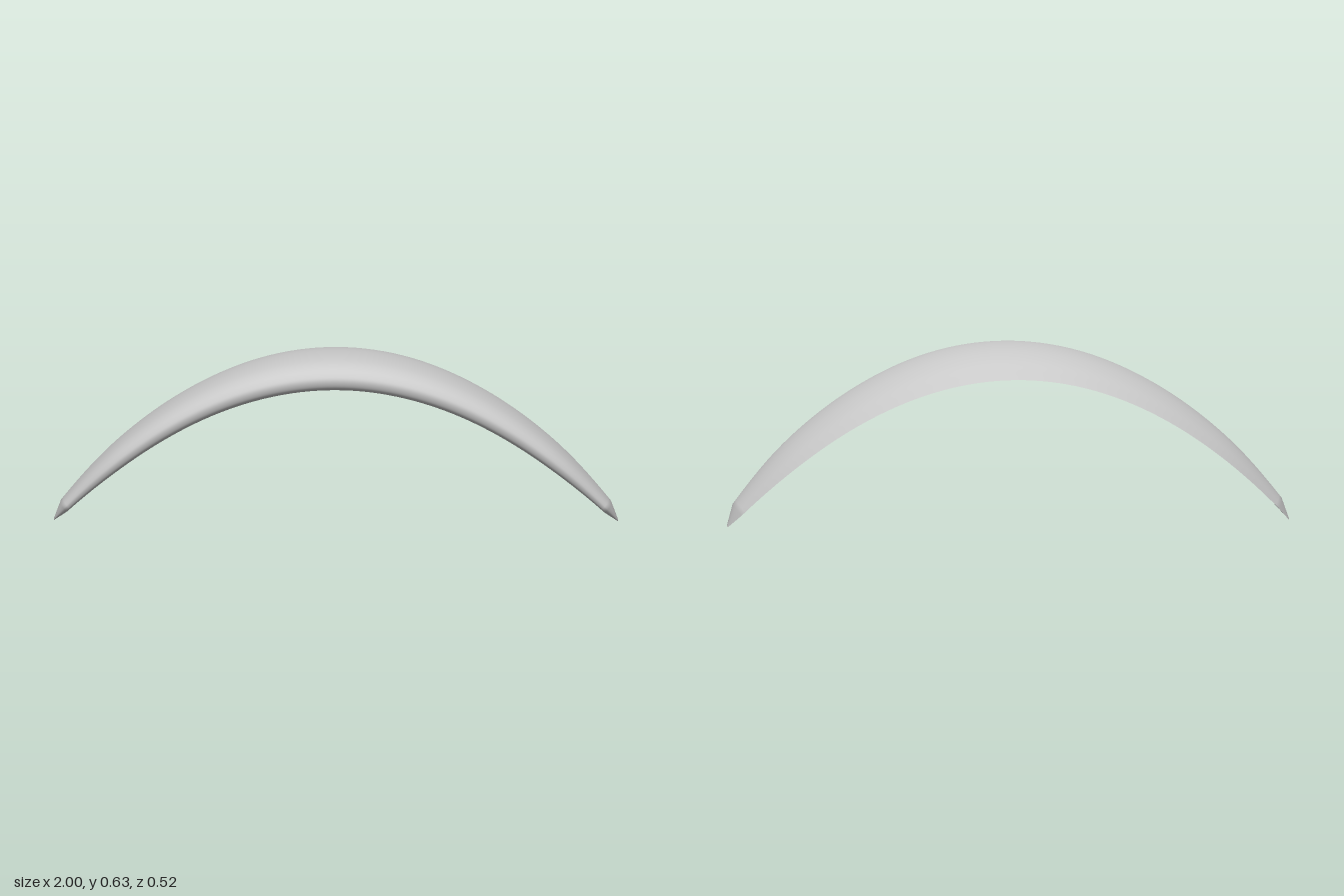
import * as THREE from 'three';

const RISE = 0.535; // height of the parabolic arch
const HALF = 0.26; // half chord at mid span

const spline = (points) => new THREE.SplineCurve(points.map(([a, b]) => new THREE.Vector2(a, b)));

// Closed aerofoil (z, height): trailing edge, crest, nose, then the hollowed underside
const section = spline([
  [-0.26, 0.018], [-0.19, 0.041], [-0.1, 0.07], [0, 0.091], [0.1, 0.099],
  [0.18, 0.095], [0.23, 0.08], [0.254, 0.059], [0.26, 0.04], [0.252, 0.017],
  [0.232, 0.004], [0.2, 0], [0.1, 0.016], [0, 0.028], [-0.1, 0.03], [-0.19, 0.025], [-0.26, 0.018],
]).getPoints(80);

// Planform (x, half chord) up to the tip shoulders, with one facet out to each blunt tip
const side = [[0.25, 0.251], [0.5, 0.221], [0.67, 0.191], [0.8, 0.156], [0.953, 0.0915]];
const planform = spline([
  ...side.map(([x, c]) => [-x, c]).reverse(), [0, HALF], ...side,
]).getPoints(80);
const tips = [-1, 1].map((x) => new THREE.Vector2(x, 0.015));
const stations = [tips[0], ...planform, tips[1]];

function canopyGeometry() {
  const positions = [];
  const indices = [];
  const cols = section.length;
  stations.forEach(({ x, y: chord }, i) => {
    // Each section stands square to the arch and shrinks with the chord
    const normal = new THREE.Vector2(2 * RISE * x, 1).normalize();
    const scale = chord / HALF;
    const thickness = tips.includes(stations[i]) ? scale / 2 : scale;
    section.forEach((p, j) => {
      const h = p.y * thickness;
      positions.push(
        x + normal.x * h,
        RISE * (1 - x * x) + normal.y * h,
        p.x * scale + 0.01 * x ** 4,
      );
      if (i && j) {
        const d = i * cols + j;
        const c = d - 1;
        const b = d - cols;
        const a = b - 1;
        indices.push(a, b, d, a, d, c);
      }
    });
  });
  const geometry = new THREE.BufferGeometry();
  geometry.setAttribute('position', new THREE.Float32BufferAttribute(positions, 3));
  geometry.setIndex(indices);
  geometry.computeVertexNormals();
  return geometry;
}

export function createModel() {
  const group = new THREE.Group();
  group.name = 'archedWing';
  const material = new THREE.MeshStandardMaterial({ color: 0xcccccc, side: THREE.DoubleSide });
  const canopy = new THREE.Mesh(canopyGeometry(), material);
  canopy.name = 'canopy';
  group.add(canopy);
  return group;
}
